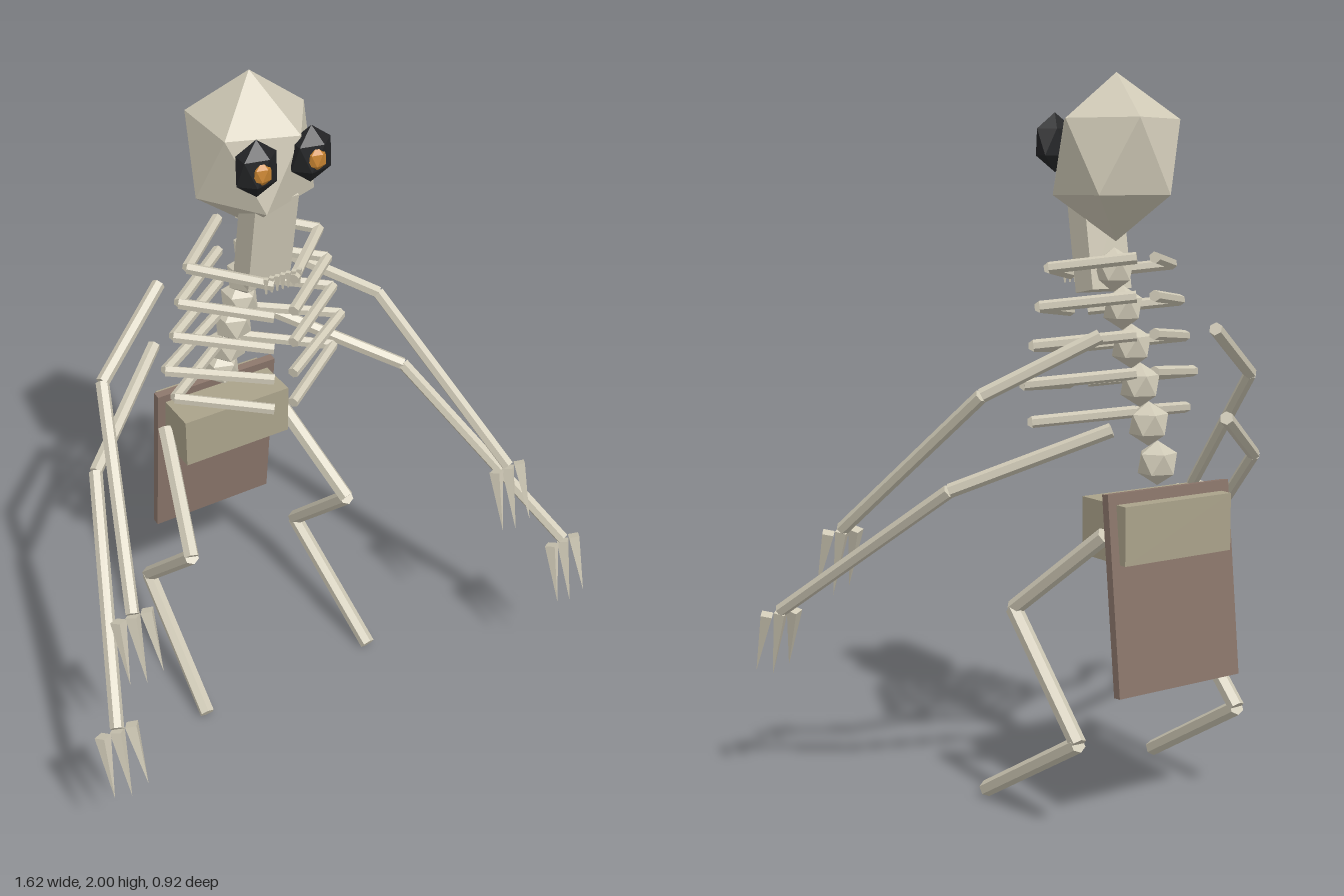
import * as THREE from 'three';
import { ConvexGeometry } from 'three/addons/geometries/ConvexGeometry.js';

const V = (x, y, z) => new THREE.Vector3(x, y, z);

export function createModel() {
  const model = new THREE.Group();
  model.name = 'skeleton';
  const mat = (name, color) => {
    const m = new THREE.MeshStandardMaterial({ color, flatShading: true });
    m.name = name;
    return m;
  };
  const bone = mat('bone', 0xcfc9b6);
  const darkBone = mat('dark bone', 0xaaa28a);
  const cloth = mat('brown cloth', 0x8a756a);
  const black = mat('black', 0x232426);
  const amber = mat('amber', 0xc98532);

  const add = (name, geometry, material, parent = model) => {
    const mesh = new THREE.Mesh(geometry, material);
    mesh.name = name;
    parent.add(mesh);
    return mesh;
  };

  // Twenty-sided ball standing on a point
  const ballPoints = [V(0, 1, 0), V(0, -1, 0)];
  for (let k = 0; k < 5; k++) {
    const a = k * Math.PI * 0.4, b = a + Math.PI / 5;
    ballPoints.push(V(0.8944 * Math.cos(a), 0.4472, 0.8944 * Math.sin(a)));
    ballPoints.push(V(0.8944 * Math.cos(b), -0.4472, 0.8944 * Math.sin(b)));
  }
  const ball = (name, center, size, material) => {
    const geometry = new ConvexGeometry(ballPoints.map((p) => p.clone().multiply(size)));
    add(name, geometry, material).position.copy(center);
  };

  // Straight rod from a to b; end radius 0 makes a spike
  const rod = (name, a, b, r, parent, endR = r, sides = 6) => {
    const mesh = add(name, new THREE.CylinderGeometry(endR, r, a.distanceTo(b), sides), bone, parent);
    mesh.position.copy(a).add(b).multiplyScalar(0.5);
    mesh.quaternion.setFromUnitVectors(V(0, 1, 0), b.clone().sub(a).normalize());
  };
  const chain = (name, points, r) => {
    const group = new THREE.Group();
    group.name = name;
    model.add(group);
    for (let i = 1; i < points.length; i++) rod(name + 'Bone', points[i - 1], points[i], r, group);
    return group;
  };

  // Skull and jaw
  ball('skull', V(0, 1.778, -0.172), V(0.183, 0.222, 0.202), bone);
  const jaw = add('jaw', new THREE.BoxGeometry(0.13, 0.28, 0.08), bone);
  jaw.position.set(0, 1.56, -0.094);
  jaw.rotation.x = 0.165;
  for (let i = -3; i <= 3; i++) {
    rod('tooth', V(i * 0.017, 1.487, -0.005), V(i * 0.017, 1.44, -0.005), 0.009, model, 0.003, 4);
  }

  // Spine
  for (let i = 0; i < 6; i++) {
    ball('vertebra', V(0, 1.48 - i * 0.1, -0.165 - i * 0.039), V(0.058, 0.06, 0.058), bone);
  }

  // Pelvis and hanging cloth
  add('pelvis', new THREE.BoxGeometry(0.35, 0.155, 0.19), darkBone).position.set(0, 0.817, -0.36);
  const flap = add('loincloth', new THREE.BoxGeometry(0.4, 0.53, 0.025), cloth);
  flap.position.set(0, 0.658, -0.428);
  flap.rotation.x = 0.104;

  const ribWidths = [0.205, 0.235, 0.255, 0.285, 0.26];
  for (const s of [-1, 1]) {
    // Eyes
    ball('eyeSocket', V(s * 0.08, 1.82, 0), V(0.065, 0.08, 0.043), black);
    ball('pupil', V(s * 0.08, 1.818, 0.028), V(0.03, 0.036, 0.02), amber);

    // Bent ribs, sloping down to the front
    ribWidths.forEach((w, i) => {
      const y = 1.49 - i * 0.101;
      chain('rib', [V(s * 0.03, y + 0.027, -0.305), V(s * w, y, -0.155), V(s * 0.03, y - 0.027, 0)], 0.016);
    });

    // Two pairs of arms with three claws each
    const arms = [
      ['upperArm', V(s * 0.19, 1.325, -0.365), V(s * 0.45, 1.175, -0.21), V(s * 0.617, 0.77, 0.255)],
      ['lowerArm', V(s * 0.19, 1.09, -0.415), V(s * 0.515, 0.928, -0.155), V(s * 0.745, 0.53, 0.39)],
    ];
    for (const [name, shoulder, elbow, wrist] of arms) {
      const arm = chain(name, [shoulder, elbow, wrist], 0.019);
      for (const k of [-1, 0, 1]) {
        const base = wrist.clone().add(V(k * 0.042, -0.005, 0));
        const tip = wrist.clone().add(V(k * 0.05, k ? -0.18 : -0.2, 0.065));
        rod('claw', base, tip, 0.022, arm, 0, 4);
      }
    }

    // Folded legs
    chain('leg', [V(s * 0.185, 0.81, -0.38), V(s * 0.27, 0.565, -0.075),
      V(s * 0.27, 0.265, -0.38), V(s * 0.295, 0.022, 0.035)], 0.023);
  }
  return model;
}
